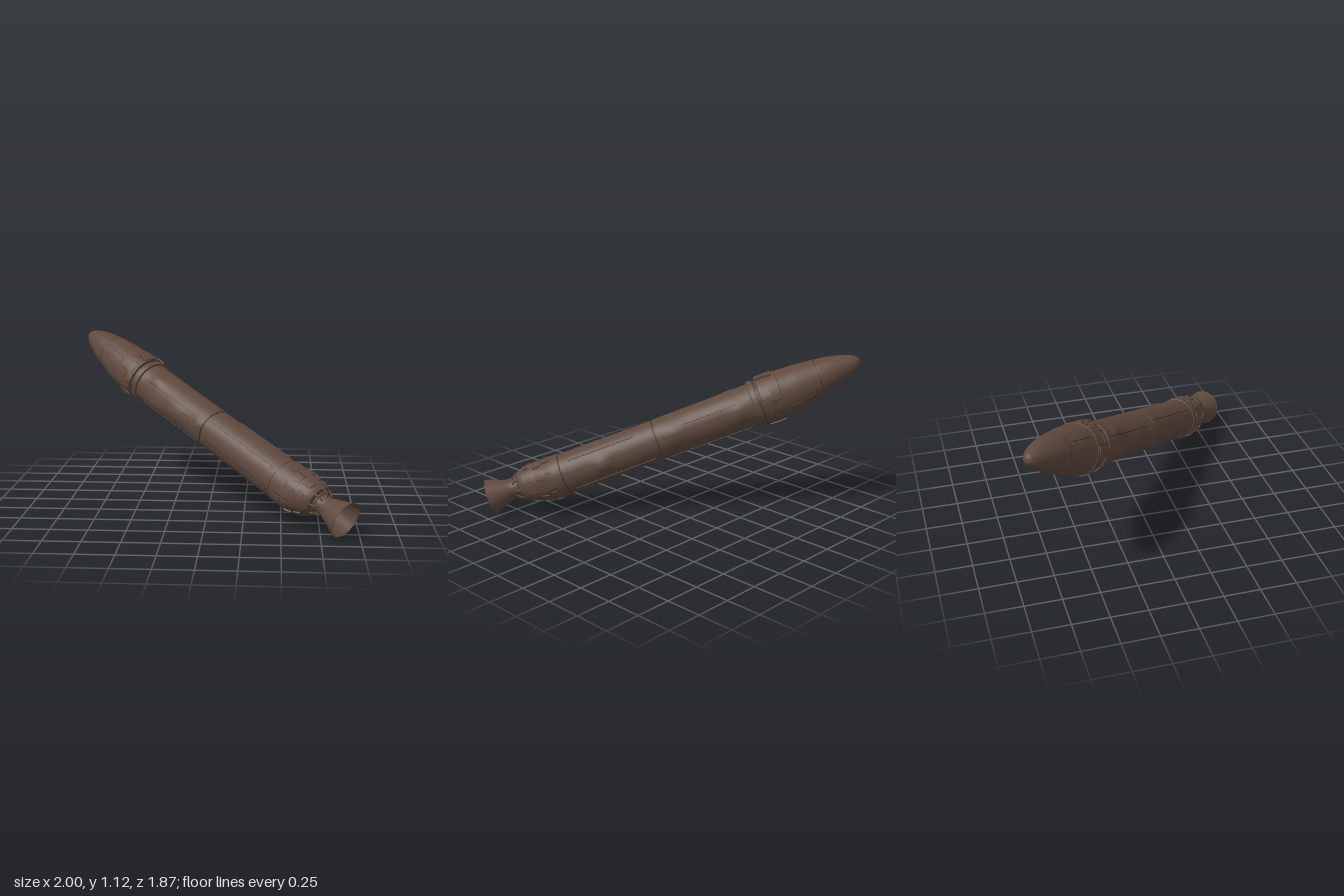
import * as THREE from 'three';
import { toCreasedNormals } from 'three/addons/utils/BufferGeometryUtils.js';

// Hull profile as [distance from nozzle rim, radius]
const HULL = [
  [0.222, 0.001], [0.226, 0.075], [0.236, 0.102], [0.26, 0.118], [0.33, 0.137], [0.42, 0.15], [0.5, 0.153], [0.545, 0.153],
  [0.55, 0.146], [0.9, 0.144], [1.246, 0.143], [1.249, 0.139], [1.256, 0.139], [1.259, 0.145], [1.6, 0.146],
  [1.9, 0.148], [1.96, 0.151], [1.964, 0.164], [2.0, 0.165], [2.004, 0.154], [2.02, 0.154], [2.024, 0.171],
  [2.1, 0.174], [2.165, 0.172], [2.17, 0.167], [2.3, 0.156], [2.446, 0.132], [2.448, 0.13], [2.452, 0.13],
  [2.454, 0.131], [2.55, 0.111], [2.63, 0.088], [2.69, 0.067], [2.73, 0.046], [2.752, 0.026], [2.76, 0.0005],
];

// Draped lumps: [distance, angle, height, length, angular width]
const LUMPS = [
  [1.39, 1.3, 0.013, 0.08, 0.45], [0.84, 1.5, 0.016, 0.05, 0.35], [1.86, 1.4, 0.013, 0.06, 0.45],
  [1.53, -1.5, 0.014, 0.08, 0.4], [1.3, -1.3, 0.01, 0.05, 0.3], [1.82, -0.7, 0.012, 0.05, 0.3],
  [1.75, -1.9, 0.01, 0.1, 0.35], [0.42, 0.9, 0.01, 0.05, 0.4], [0.4, -2.0, 0.008, 0.06, 0.4],
  [2.08, 1.3, 0.008, 0.05, 0.35], [2.05, -1.6, 0.01, 0.06, 0.4],
];

function hullRadius(s, a) {
  let i = 1;
  while (i < HULL.length - 1 && HULL[i][0] < s) i++;
  const [s0, r0] = HULL[i - 1], [s1, r1] = HULL[i];
  let r = THREE.MathUtils.lerp(r0, r1, THREE.MathUtils.clamp((s - s0) / (s1 - s0), 0, 1));
  for (const [ls, la, h, len, wid] of LUMPS) {
    const da = Math.atan2(Math.sin(a - la), Math.cos(a - la));
    r += h * Math.exp(-(((s - ls) / len) ** 2) - (da / wid) ** 2);
  }
  return r;
}

// The long hull sags slightly between its two ends
function sag(s) {
  const { smoothstep } = THREE.MathUtils;
  return -0.032 * smoothstep(s, 0.15, 0.5) * (1 - smoothstep(s, 2.05, 2.76));
}

function seeded(seed) {
  return () => (seed = (seed * 16807) % 2147483647) / 2147483647;
}

export function createModel() {
  const rocket = new THREE.Group();
  rocket.name = 'rocket';
  const brown = new THREE.MeshStandardMaterial({ color: 0x5f493e });
  brown.name = 'brown hull';
  const nozzleBrown = new THREE.MeshStandardMaterial({ color: 0x5f493e, side: THREE.DoubleSide });
  nozzleBrown.name = 'brown nozzle';
  const dark = new THREE.MeshStandardMaterial({ color: 0x35271f });
  dark.name = 'dark seam';

  const add = (name, geometry, material = brown, parent = rocket) => {
    const mesh = new THREE.Mesh(geometry, material);
    mesh.name = name;
    parent.add(mesh);
    return mesh;
  };

  // Hull: lathe, then lumps and sag
  const points = [];
  HULL.forEach(([s, r], i) => {
    if (i) {
      const [ps, pr] = HULL[i - 1];
      const n = Math.ceil((s - ps) / 0.025);
      for (let k = 1; k < n; k++) points.push(new THREE.Vector2(pr + (r - pr) * k / n, ps + (s - ps) * k / n));
    }
    points.push(new THREE.Vector2(r, s));
  });
  const hull = new THREE.LatheGeometry(points, 72);
  const hp = hull.attributes.position;
  for (let i = 0; i < hp.count; i++) {
    const s = hp.getY(i), a = Math.atan2(hp.getX(i), hp.getZ(i));
    const r = s > 0.25 && s < 2.74 ? hullRadius(s, a) : Math.hypot(hp.getX(i), hp.getZ(i));
    hp.setXYZ(i, r * Math.sin(a), s, r * Math.cos(a) + sag(s));
  }
  add('hull', toCreasedNormals(hull, 0.5));

  // Plate wrapped on the hull: centre angle, centre distance, width, length, height
  function plate(name, a, s, width, length, height, material, parent) {
    const arc = width / hullRadius(s, a);
    const g = new THREE.BoxGeometry(arc, length, height,
      Math.max(1, Math.ceil(arc / 0.1)), Math.max(1, Math.ceil(length / 0.03)), 1);
    const p = g.attributes.position;
    for (let i = 0; i < p.count; i++) {
      const t = a + p.getX(i), y = s + p.getY(i), r = hullRadius(y, t) + p.getZ(i);
      p.setXYZ(i, r * Math.sin(t), y, r * Math.cos(t) + sag(y));
    }
    add(name, toCreasedNormals(g, 0.6), material, parent);
  }
  const group = (name) => {
    const g = new THREE.Group();
    g.name = name;
    rocket.add(g);
    return g;
  };

  // Ring seams
  const rings = group('ringSeams');
  for (const s of [0.552, 1.2525, 2.012, 2.45]) plate('ringSeam', 0, s, hullRadius(s, 0) * Math.PI * 2, 0.004, 0.002, dark, rings);

  // Long cable covers with a dark seam beside each
  const covers = group('cableCovers');
  for (const [a, from, to] of [[-0.9, 0.6, 1.23], [-1.9, 0.58, 1.2], [0.6, 0.62, 1.1], [2.3, 0.6, 1.2],
    [-1.1, 1.35, 1.92], [-2.3, 1.3, 1.9], [0.9, 1.45, 1.85], [2.7, 1.3, 1.9], [-0.9, 2.2, 2.42], [2.0, 2.2, 2.4]]) {
    plate('cableCover', a, (from + to) / 2, 0.022, to - from, 0.006, brown, covers);
    plate('cableSeam', a + 0.1, (from + to) / 2, 0.004, to - from, 0.003, dark, covers);
  }

  // Raised equipment panels around the collar and tail
  const rand = seeded(41);
  const panels = group('equipmentPanels');
  for (const [s, count] of [[2.06, 10], [2.12, 8], [0.46, 10], [0.39, 9], [0.31, 7]]) {
    for (let i = 0; i < count; i++) {
      const a = (i + rand() * 0.6) / count * Math.PI * 2;
      const w = 0.03 + rand() * 0.04, h = 0.03 + rand() * 0.04;
      plate('equipmentPanel', a, s, w, h, 0.006 + rand() * 0.012, brown, panels);
      plate('panelGap', a + w * 4.5, s, 0.004, h, 0.003, dark, panels);
    }
  }

  // Engine bell, open at the rim
  const bell = [[0.127, 0], [0.121, 0.012], [0.104, 0.06], [0.085, 0.11], [0.071, 0.15], [0.06, 0.18], [0.066, 0.23]]
    .map(([r, s]) => new THREE.Vector2(r, s));
  add('engineBell', new THREE.LatheGeometry(bell, 48), nozzleBrown);
  const rim = add('bellRim', new THREE.TorusGeometry(0.125, 0.003, 6, 48));
  rim.rotation.x = Math.PI / 2;
  rim.position.y = 0.003;

  // Feed pipes and ring around the throat
  const engine = group('enginePipes');
  for (let i = 0; i < 8; i++) {
    const a = i / 8 * Math.PI * 2;
    const at = (r, s) => new THREE.Vector3(r * Math.sin(a), s, r * Math.cos(a));
    const path = new THREE.CatmullRomCurve3([at(0.058, 0.185), at(0.076, 0.195), at(0.09, 0.215), at(0.098, 0.245)]);
    add('feedPipe', new THREE.TubeGeometry(path, 10, 0.006, 6), brown, engine);
  }
  const throat = add('throatRing', new THREE.TorusGeometry(0.075, 0.008, 8, 36), brown, engine);
  throat.rotation.x = Math.PI / 2;
  throat.position.y = 0.218;

  // Tilt the long axis from the nozzle rim to the nose tip
  const base = new THREE.Vector3(0.905, 0.12, 0.837);
  const axis = new THREE.Vector3(-0.985, 1.08, -0.918).sub(base).normalize();
  const side = new THREE.Vector3(-axis.z, 0, axis.x).normalize();
  const up = new THREE.Vector3().crossVectors(side, axis);
  rocket.quaternion.setFromRotationMatrix(new THREE.Matrix4().makeBasis(side, axis, up));
  rocket.position.copy(base);

  const model = new THREE.Group();
  model.name = 'model';
  model.add(rocket);
  return model;
}
